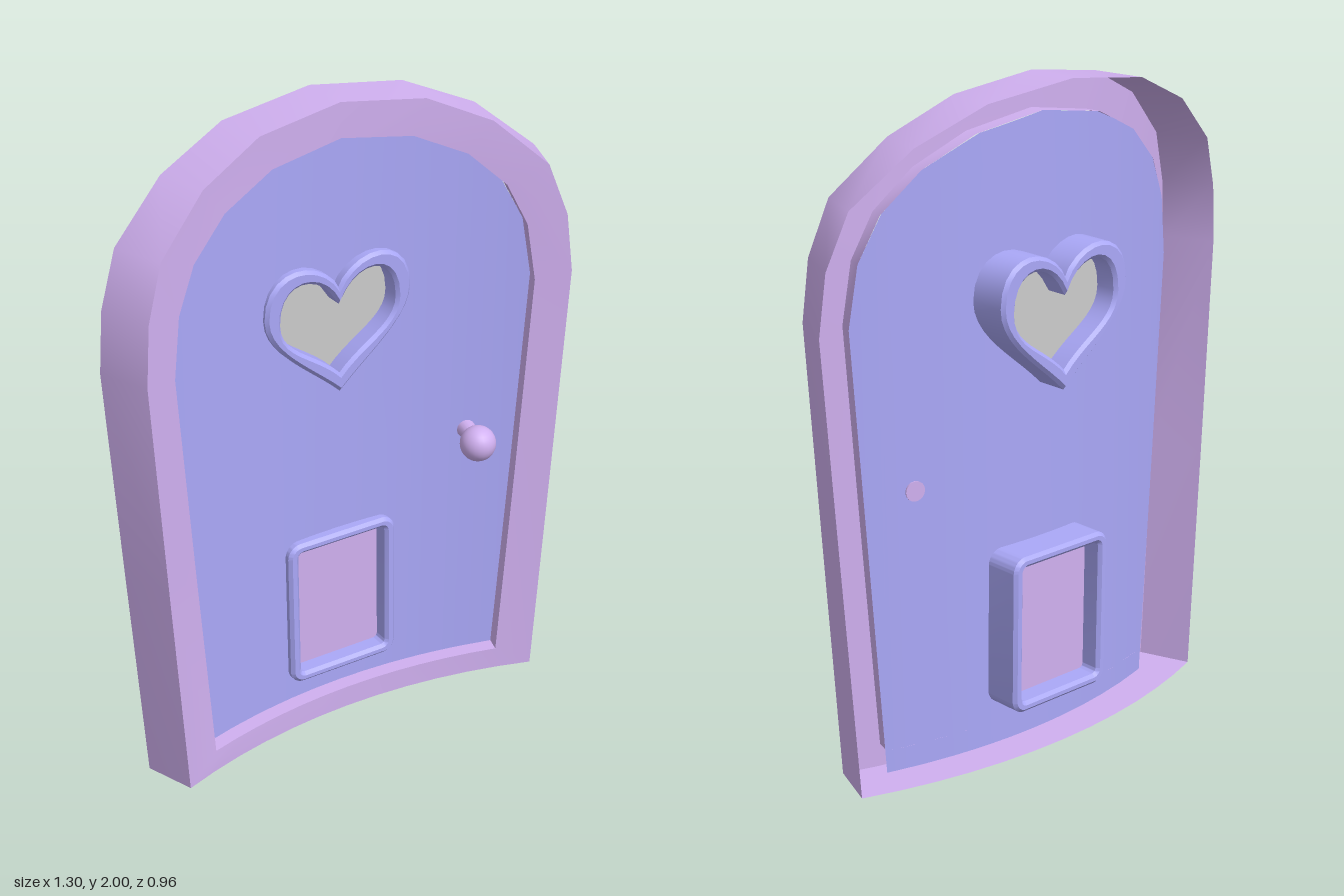
import * as THREE from 'three';
import { toCreasedNormals } from 'three/addons/utils/BufferGeometryUtils.js';

const R = 1.8; // radius of the curved front
const purple = new THREE.MeshStandardMaterial({ color: 0xd0b0f0, side: THREE.DoubleSide });
const blue = new THREE.MeshStandardMaterial({ color: 0xaaa8f8, side: THREE.DoubleSide });
const grey = new THREE.MeshStandardMaterial({ color: 0xcccccc, side: THREE.DoubleSide });

// Wraps a flat point (s across, y up, d forward) around the vertical axis of the curve
function bend(s, y, d) {
  const a = s / R;
  return [(R - d) * Math.sin(a), y, R - (R - d) * Math.cos(a)];
}

function named(name, geometry, material) {
  const mesh = new THREE.Mesh(geometry, material);
  mesh.name = name;
  return mesh;
}

function soup(quads, crease) {
  const pos = [];
  for (const [a, b, c, d] of quads) pos.push(...a, ...b, ...c, ...a, ...c, ...d);
  const g = new THREE.BufferGeometry();
  g.setAttribute('position', new THREE.Float32BufferAttribute(pos, 3));
  return toCreasedNormals(g, crease);
}

// Right halves of the arch outlines, from the bottom corner to the crown
const outer = [[0.633, 0], [0.68, 0.7], [0.724, 1.37], [0.705, 1.55], [0.645, 1.71], [0.475, 1.86], [0.27, 1.955], [0, 1.992]];
const inner = [[0.517, 0.07], [0.565, 0.7], [0.612, 1.35], [0.585, 1.53], [0.52, 1.66], [0.4, 1.77], [0.23, 1.85], [0, 1.887]];

// Closed loop: up the right, down the left, back along the bottom
function archLoop(half) {
  const left = half.slice(0, -1).reverse().map(([s, y]) => [-s, y]);
  const [w, y0] = half[0];
  const bottom = [];
  for (let i = 1; i < 12; i++) bottom.push([-w + (2 * w * i) / 12, y0]);
  return [...half, ...left, ...bottom];
}

// Frame: outer wall, front face and shallow inner reveal, open at the back
function frameGeometry() {
  const rings = [[outer, -0.165], [outer, 0], [inner, 0], [inner, -0.05]]
    .map(([half, d]) => archLoop(half).map(([s, y]) => bend(s, y, d)));
  const quads = [];
  for (let r = 0; r < 3; r++) {
    const A = rings[r], B = rings[r + 1], n = A.length;
    for (let i = 0; i < n; i++) {
      const j = (i + 1) % n;
      quads.push([A[i], A[j], B[j], B[i]]);
    }
  }
  return soup(quads, 0.7);
}

function interp(table, x) {
  for (let i = 1; i < table.length; i++) {
    const [x0, y0] = table[i - 1], [x1, y1] = table[i];
    if (x <= x1 + 1e-9) return y0 + ((y1 - y0) * (x - x0)) / (x1 - x0);
  }
  return table[table.length - 1][1];
}

// Door leaf: curved sheet in vertical columns, leaving gaps for window and flap
function leafGeometry() {
  const columns = [0, 0.06, 0.11, 0.17, 0.22, 0.3, 0.4, 0.517, 0.565, 0.585, 0.612];
  const top = inner.slice(2).reverse();
  const foot = [[0, 0], [0.517, 0], [0.612, 1.35]];
  const heartLow = [[0, 1.12], [0.06, 1.165], [0.11, 1.215], [0.17, 1.28], [0.22, 1.38]];
  const heartHigh = [[0, 1.41], [0.06, 1.475], [0.11, 1.49], [0.17, 1.465], [0.22, 1.38]];
  const quads = [];
  for (const side of [1, -1]) {
    for (let i = 0; i < columns.length - 1; i++) {
      const a = columns[i], b = columns[i + 1];
      const patch = (low, high) => {
        const q = [
          bend(side * a, low(a), -0.05), bend(side * b, low(b), -0.05),
          bend(side * b, high(b), -0.05), bend(side * a, high(a), -0.05)];
        quads.push(side > 0 ? q : q.reverse());
      };
      const curve = (table) => (s) => interp(table, s);
      const level = (y) => () => y;
      let start = curve(foot);
      if (b <= 0.17) {
        patch(start, level(0.15));
        start = level(0.605);
      }
      if (b <= 0.22) {
        patch(start, curve(heartLow));
        start = curve(heartHigh);
      }
      patch(start, curve(top));
    }
  }
  return soup(quads, 0.5);
}

// Heart outline
function heart(path, hw, tip, top, dip) {
  const mid = top - 0.12;
  path.moveTo(0, tip);
  path.bezierCurveTo(0.4 * hw, tip + 0.09, hw, mid - 0.1, hw, mid);
  path.bezierCurveTo(hw, top + 0.035, 0.25 * hw, top + 0.03, 0, dip);
  path.bezierCurveTo(-0.25 * hw, top + 0.03, -hw, top + 0.035, -hw, mid);
  path.bezierCurveTo(-hw, mid - 0.1, -0.4 * hw, tip + 0.09, 0, tip);
  return path;
}

// Rounded rectangle outline
function roundedRect(path, w, y0, y1, r) {
  path.moveTo(w - r, y0);
  path.absarc(w - r, y0 + r, r, -Math.PI / 2, 0);
  path.absarc(w - r, y1 - r, r, 0, Math.PI / 2);
  path.absarc(-w + r, y1 - r, r, Math.PI / 2, Math.PI);
  path.absarc(-w + r, y0 + r, r, Math.PI, Math.PI * 1.5);
  path.closePath();
  return path;
}

// Deep surround passing through the leaf, with a narrow bevel on its rims
function surround(name, shape, hole) {
  shape.holes.push(hole);
  const g = new THREE.ExtrudeGeometry(shape, {
    depth: 0.12, bevelThickness: 0.01, bevelSize: 0.01, bevelSegments: 1, curveSegments: 10 });
  g.translate(0, 0, -0.145);
  return named(name, toCreasedNormals(g, 0.5), blue);
}

export function createModel() {
  const model = new THREE.Group();
  model.name = 'curvedDoor';
  const door = new THREE.Group();
  door.name = 'door';
  door.rotation.set(0, 0.604, 0.012);
  door.position.set(-0.008, 0.008, -0.038);
  model.add(door);

  door.add(named('frame', frameGeometry(), purple));
  door.add(named('leaf', leafGeometry(), blue));

  // Heart window
  door.add(surround('windowSurround',
    heart(new THREE.Shape(), 0.235, 1.11, 1.5, 1.415),
    heart(new THREE.Path(), 0.205, 1.142, 1.475, 1.39)));
  const pane = named('windowPane',
    new THREE.ShapeGeometry(heart(new THREE.Shape(), 0.21, 1.135, 1.48, 1.395)), grey);
  pane.position.z = -0.08;
  door.add(pane);

  // Pet flap
  door.add(surround('flapSurround',
    roundedRect(new THREE.Shape(), 0.178, 0.143, 0.612, 0.035),
    roundedRect(new THREE.Path(), 0.163, 0.155, 0.6, 0.025)));
  const flap = named('petFlap', new THREE.BoxGeometry(0.32, 0.44, 0.02), purple);
  flap.position.set(0, 0.377, -0.08);
  door.add(flap);

  // Knob on a short stem, pointing to the centre of the curve
  const knob = new THREE.Group();
  knob.name = 'knob';
  knob.position.set(...bend(0.425, 0.857, -0.05));
  knob.rotation.y = -0.425 / R;
  const stem = named('knobStem', new THREE.CylinderGeometry(0.022, 0.03, 0.08, 16), purple);
  stem.rotation.x = Math.PI / 2;
  stem.position.z = 0.035;
  const ball = named('knobBall', new THREE.SphereGeometry(0.055, 24, 16), purple);
  ball.position.z = 0.1;
  knob.add(stem, ball);
  door.add(knob);

  return model;
}
